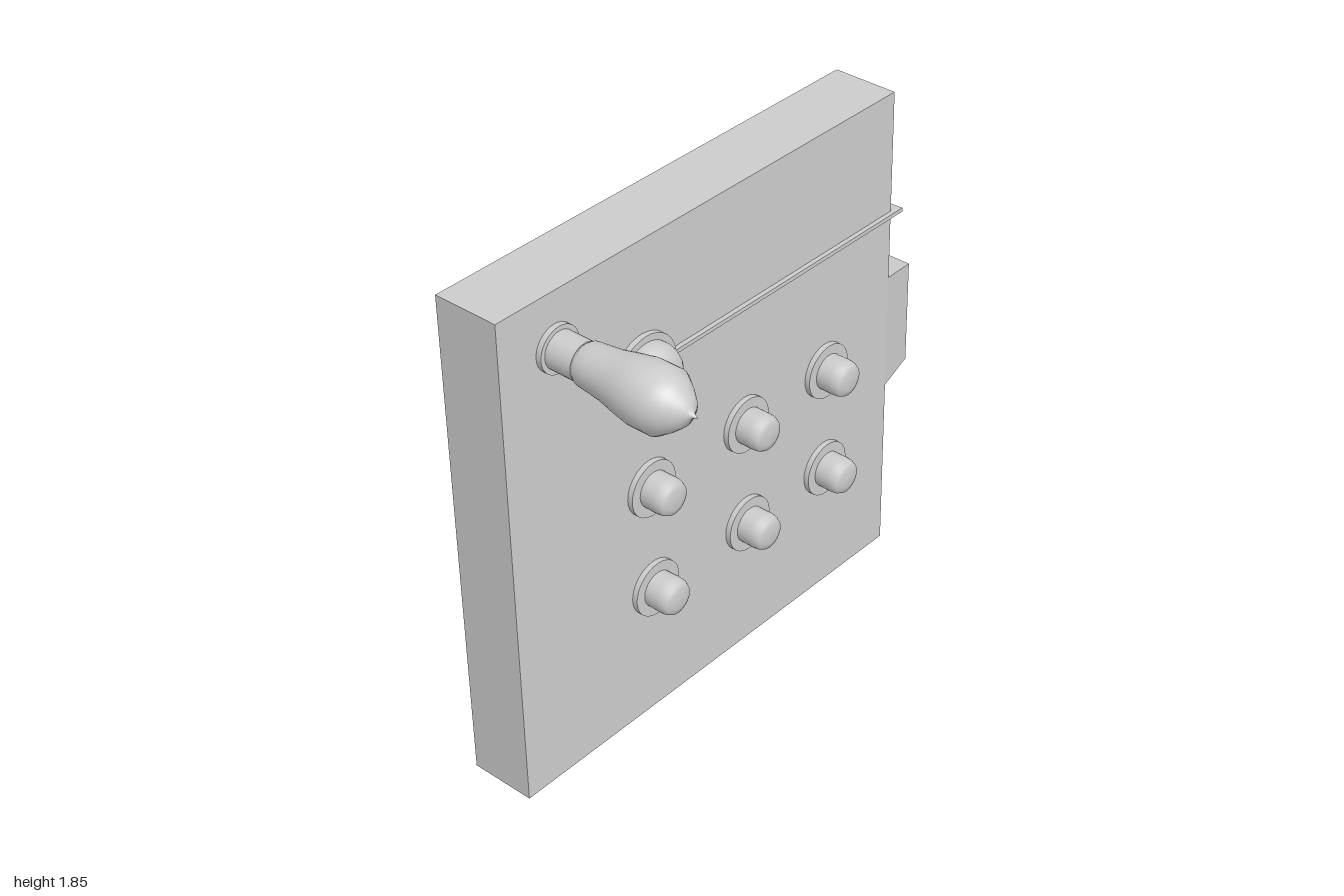
import * as THREE from 'three';

const FACE = -0.157; // front surface of the panel
const BACK = -0.403;

export function createModel() {
  const model = new THREE.Group();
  const smooth = new THREE.MeshStandardMaterial({ color: 0xcccccc });
  const flat = new THREE.MeshStandardMaterial({ color: 0xcccccc, flatShading: true });

  function add(name, geometry, material, parent = model) {
    const mesh = new THREE.Mesh(geometry, material);
    mesh.name = name;
    parent.add(mesh);
    return mesh;
  }

  // Box given by its minimum and maximum corners
  function box(name, a, b, parent) {
    const mesh = add(name, new THREE.BoxGeometry(b[0] - a[0], b[1] - a[1], b[2] - a[2]), flat, parent);
    mesh.position.set((a[0] + b[0]) / 2, (a[1] + b[1]) / 2, (a[2] + b[2]) / 2);
    return mesh;
  }

  // Turned part whose axis points out of the panel; profile is [radius, z]
  function turned(name, profile, parent, material = smooth) {
    const points = profile.map(([r, z]) => new THREE.Vector2(r, z));
    const geometry = new THREE.LatheGeometry(points, 32).rotateX(Math.PI / 2);
    return add(name, geometry, material, parent);
  }

  function disc(name, radius, z0, z1, parent) {
    const geometry = new THREE.CylinderGeometry(radius, radius, z1 - z0, 32).rotateX(Math.PI / 2);
    geometry.translate(0, 0, (z0 + z1) / 2);
    return add(name, geometry, smooth, parent);
  }

  function groupAt(name, x, y) {
    const group = new THREE.Group();
    group.name = name;
    group.position.set(x, y, 0);
    model.add(group);
    return group;
  }

  box('panel', [-1, 0, BACK], [0.85, 1.85, FACE]);

  // Side box, tapering towards its outer end
  const sideBox = new THREE.BoxGeometry(0.15, 0.45, FACE - BACK);
  const p = sideBox.attributes.position;
  for (let i = 0; i < p.count; i++) {
    if (p.getX(i) > 0) {
      p.setY(i, Math.sign(p.getY(i)) * 0.2);
      p.setZ(i, Math.sign(p.getZ(i)) * 0.097);
    }
  }
  sideBox.computeVertexNormals();
  add('sideBox', sideBox, flat).position.set(0.925, 0.905, (FACE + BACK) / 2);

  // Lamp: flange, socket and pointed bulb
  const lamp = groupAt('lamp', -0.765, 1.655);
  disc('lampFlange', 0.082, FACE, -0.137, lamp);
  disc('lampSocket', 0.066, -0.137, -0.035, lamp);
  turned('lampBulb', [
    [0, -0.036], [0.064, -0.036], [0.073, -0.02], [0.077, 0.02], [0.084, 0.08], [0.098, 0.145],
    [0.108, 0.2], [0.108, 0.285], [0.081, 0.325], [0.05, 0.362], [0.022, 0.378],
    [0.009, 0.388], [0, 0.408],
  ], lamp);

  // Bell: backing plate, dome and central stud
  const bell = groupAt('bell', -0.397, 1.38);
  disc('bellPlate', 0.137, FACE, -0.137, bell);
  turned('bellDome', [
    [0.113, -0.137], [0.114, -0.115], [0.109, -0.095], [0.097, -0.072],
    [0.08, -0.055], [0.05, -0.043], [0.021, -0.039], [0, -0.039],
  ], bell);
  disc('bellStud', 0.011, -0.04, -0.016, bell);

  // Wire bar along the face, round the corner and down to the side box
  const wire = new THREE.Group();
  wire.name = 'wire';
  model.add(wire);
  box('wireFront', [-0.28, 1.381, FACE - 0.004], [0.892, 1.396, -0.14], wire);
  const bend = new THREE.Shape([
    [0.845, 0.3], [0.845, 0.14], [0.893, 0.14], [0.881, 0.3],
  ].map(([x, d]) => new THREE.Vector2(x, d)));
  const bendGeometry = new THREE.ExtrudeGeometry(bend, { depth: 0.015, bevelEnabled: false });
  add('wireBend', bendGeometry.rotateX(-Math.PI / 2), flat, wire).position.y = 1.381;
  box('wireDrop', [0.845, 1.11, -0.3], [0.882, 1.39, -0.272], wire);

  // Two rows of push buttons on round plates
  const buttons = [
    [-0.382, 0.925], [0.083, 0.925], [0.503, 0.925],
    [-0.377, 0.513], [0.088, 0.51], [0.503, 0.513],
  ];
  for (const [x, y] of buttons) {
    const button = groupAt('button', x, y);
    disc('buttonPlate', 0.103, FACE, -0.137, button);
    turned('buttonKnob', [
      [0.066, -0.137], [0.067, -0.085], [0.065, -0.065], [0.057, -0.048],
      [0.035, -0.042], [0, -0.04],
    ], button);
  }

  return model;
}
